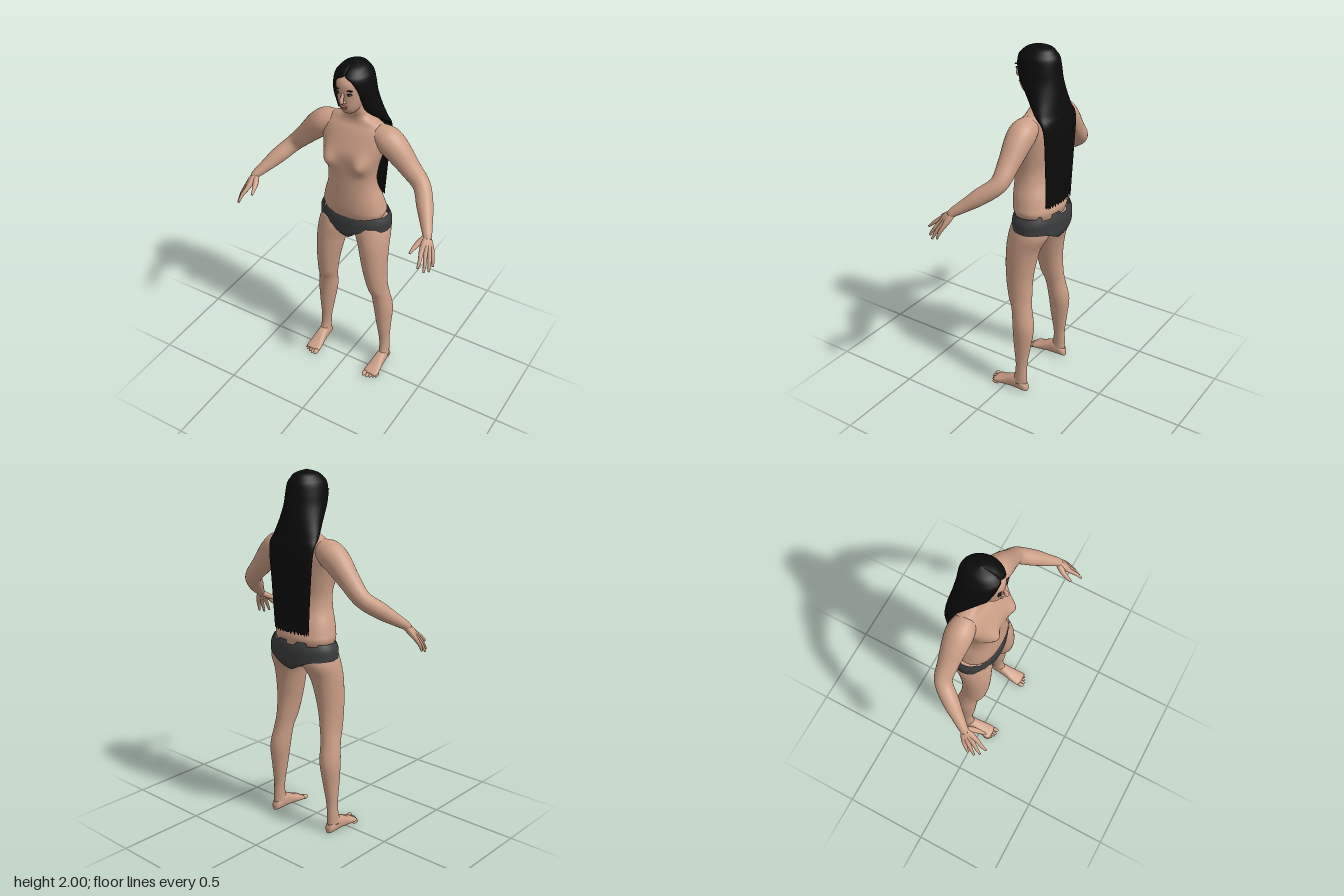
import * as THREE from 'three';

const mat = (name, color, side = THREE.FrontSide) => {
  const m = new THREE.MeshStandardMaterial({ color, side });
  m.name = name;
  return m;
};

// Catmull-Rom blend of station rows, k steps between neighbours
function smooth(st, k = 5) {
  const out = [];
  for (let i = 0; i < st.length - 1; i++) {
    const A = st[Math.max(i - 1, 0)], B = st[i], C = st[i + 1], D = st[Math.min(i + 2, st.length - 1)];
    for (let s = 0; s < k; s++) {
      const t = s / k;
      out.push(B.map((b, c) => {
        const a = A[c], e = C[c], d = D[c];
        return 0.5 * (2 * b + (e - a) * t + (2 * a - 5 * b + 4 * e - d) * t * t + (3 * b - a - 3 * e + d) * t * t * t);
      }));
    }
  }
  out.push(st[st.length - 1]);
  return out;
}

// Skin over closed rings of points, optionally capped at both ends
function skinRings(rings, cap = true) {
  const n = rings[0].length, pos = [], idx = [];
  rings.forEach(r => r.forEach(p => pos.push(p[0], p[1], p[2])));
  for (let i = 0; i < rings.length - 1; i++) for (let j = 0; j < n; j++) {
    const k = (j + 1) % n, a = i * n + j, b = i * n + k, c = b + n, d = a + n;
    idx.push(a, b, c, a, c, d);
  }
  if (cap) [0, rings.length - 1].forEach((row, end) => {
    const m = pos.length / 3;
    pos.push(...[0, 1, 2].map(c => rings[row].reduce((s, p) => s + p[c], 0) / n));
    for (let j = 0; j < n; j++) {
      const a = row * n + j, b = row * n + (j + 1) % n;
      end ? idx.push(a, b, m) : idx.push(b, a, m);
    }
  });
  const g = new THREE.BufferGeometry();
  g.setAttribute('position', new THREE.Float32BufferAttribute(pos, 3));
  g.setIndex(idx);
  g.computeVertexNormals();
  return g;
}

const pw = (v, e) => Math.sign(v) * Math.abs(v) ** e;

// Upright form: stations are [y, centre x, half width, front z, back z]
function upright(st, e = 1, n = 40, bump = () => 0) {
  return skinRings(smooth(st).map(([y, cx, rx, zf, zb]) => Array.from({ length: n }, (_, j) => {
    const t = j / n * Math.PI * 2;
    const x = cx + rx * pw(Math.sin(t), e), z = (zf + zb) / 2 + (zf - zb) / 2 * pw(Math.cos(t), e);
    return [x, y, z + (Math.cos(t) > 0 ? bump(x, y) : 0)];
  })));
}

// Round limb: stations are [x, y, z, radius]
function limb(st, n = 20) {
  const rows = smooth(st, 6), up = new THREE.Vector3(0.3, 0.2, 1);
  return skinRings(rows.map(([x, y, z, r], i) => {
    const p = rows[Math.max(i - 1, 0)], q = rows[Math.min(i + 1, rows.length - 1)];
    const d = new THREE.Vector3(q[0] - p[0], q[1] - p[1], q[2] - p[2]).normalize();
    const a = up.clone().addScaledVector(d, -up.dot(d)).normalize(), b = d.clone().cross(a);
    return Array.from({ length: n }, (_, j) => {
      const t = j / n * Math.PI * 2, c = r * Math.cos(t), s = r * Math.sin(t);
      return [x + a.x * c + b.x * s, y + a.y * c + b.y * s, z + a.z * c + b.z * s];
    });
  }));
}

export function createModel() {
  const model = new THREE.Group();
  const skin = mat('skin', 0xcb9e86), hairMat = mat('black hair', 0x0b0b0c, THREE.DoubleSide);
  const cloth = mat('charcoal cloth', 0x3b3c3d, THREE.DoubleSide);
  const lip = mat('lip', 0xa97462), dark = mat('lash', 0x191312), white = mat('eye white', 0xd9d2ca);
  const add = (name, geo, m, parent = model) => {
    const o = new THREE.Mesh(geo, m);
    o.name = name;
    parent.add(o);
    return o;
  };
  const ball = (name, m, p, s, rz = 0) => {
    const o = add(name, new THREE.SphereGeometry(1, 20, 14), m);
    o.position.set(...p);
    o.scale.set(...s);
    o.rotation.z = rz;
    return o;
  };

  // Torso and neck
  const chest = (x, y) => 0.042 * Math.exp(-(((Math.abs(x) - 0.1) / 0.045) ** 2) - ((y - 1.452) / 0.05) ** 2);
  add('torso', upright([
    [1.07, 0, 0.165, 0.015, -0.2], [1.115, 0, 0.183, 0.028, -0.212], [1.15, 0, 0.178, 0.034, -0.205],
    [1.2, 0, 0.165, 0.036, -0.19], [1.27, 0, 0.142, 0.036, -0.165], [1.34, 0, 0.136, 0.035, -0.155],
    [1.42, 0, 0.147, 0.036, -0.165], [1.5, 0, 0.168, 0.034, -0.175], [1.56, 0, 0.186, 0.01, -0.178],
    [1.62, 0, 0.18, -0.022, -0.175], [1.655, 0, 0.145, -0.045, -0.165], [1.69, 0, 0.072, -0.048, -0.145],
    [1.73, 0, 0.057, -0.033, -0.135], [1.79, 0, 0.053, -0.015, -0.13]], 0.88, 64, chest), skin);

  // Head and face
  add('head', upright([
    [1.73, 0, 0.022, -0.005, -0.06], [1.745, 0, 0.04, 0.014, -0.09], [1.77, 0, 0.055, 0.028, -0.12],
    [1.8, 0, 0.066, 0.034, -0.15], [1.84, 0, 0.073, 0.038, -0.165], [1.88, 0, 0.076, 0.043, -0.17],
    [1.92, 0, 0.074, 0.038, -0.17], [1.955, 0, 0.058, 0.005, -0.145], [1.975, 0, 0.02, -0.04, -0.1]], 0.92), skin);
  add('nose', limb([[0, 1.872, 0.036, 0.006], [0, 1.85, 0.045, 0.008], [0, 1.828, 0.054, 0.012], [0, 1.815, 0.05, 0.009]]), skin);
  ball('upperLip', lip, [0, 1.789, 0.034], [0.022, 0.005, 0.008]);
  ball('lowerLip', lip, [0, 1.78, 0.031], [0.019, 0.006, 0.009]);
  for (const s of [-1, 1]) {
    ball('nostril', skin, [s * 0.011, 1.819, 0.042], [0.008, 0.007, 0.01]);
    ball('eye', white, [s * 0.033, 1.861, 0.034], [0.014, 0.006, 0.005]);
    ball('iris', dark, [s * 0.033, 1.861, 0.037], [0.006, 0.006, 0.004]);
    ball('lash', dark, [s * 0.034, 1.867, 0.035], [0.018, 0.004, 0.005], s * 0.12);
    ball('brow', dark, [s * 0.036, 1.886, 0.036], [0.021, 0.004, 0.005], s * 0.2);
  }

  // Long hair: crescent rows [y, half width, depth, centre z, wrap angle]
  const half = 40;
  const hairRows = smooth([
    [2.0, 0.001, 0.001, -0.08, Math.PI], [1.982, 0.054, 0.066, -0.08, Math.PI], [1.955, 0.082, 0.097, -0.075, Math.PI],
    [1.93, 0.097, 0.112, -0.075, 2.72], [1.88, 0.107, 0.117, -0.078, 2.45], [1.82, 0.114, 0.112, -0.09, 2.4],
    [1.74, 0.13, 0.09, -0.125, 2.48], [1.67, 0.148, 0.065, -0.16, 2.1], [1.6, 0.155, 0.035, -0.2, 1.6],
    [1.4, 0.138, 0.03, -0.203, 1.57], [1.16, 0.122, 0.026, -0.2, 1.57]], 6).reverse();
  add('hair', skinRings(hairRows.map(([y, rx, rz, zc, wrap], i) => {
    const T = Math.min(wrap, Math.PI), ring = [];
    for (let j = 0; j < 2 * half; j++) {
      const inner = j >= half, u = inner ? 2 * half - 1 - j : j;
      const t = T * (1 - 2 * u / (half - 1));
      const y2 = y + (i === 0 ? 0.012 * Math.sin(u * 2.3) : 0);
      ring.push([rx * (inner ? 0.88 : 1) * Math.sin(t), y2, zc - rz * (inner ? 0.7 : 1) * Math.cos(t)]);
    }
    return ring;
  }), false), hairMat);

  // Briefs: a band with dipping leg openings and a notched waist
  const seg = 120, rows = 14, band = [];
  for (let i = 0; i <= rows; i++) {
    band.push(Array.from({ length: seg }, (_, j) => {
      const t = j / seg * Math.PI * 2, c = Math.cos(t), x0 = 0.21 * Math.sin(t);
      const low = c > 0 ? 1.015 - 0.072 * Math.exp(-((x0 / 0.055) ** 2)) : 1.012 - 0.062 * Math.exp(-((x0 / 0.09) ** 2));
      const top = 1.104 + (Math.abs(c) > 0.55 ? 0.009 * Math.sign(Math.sin(9 * t + 0.8)) : 0);
      const y = low + (top - low) * i / rows;
      const swell = 1 - 9 * Math.max(y - 1.06, 0) ** 1.5 - (y < 1 ? 60 * (1 - y) ** 2 : 0);
      return [0.212 * Math.sin(t) * swell, y, -0.1 + (c > 0 ? 0.13 : 0.137) * pw(c, 0.9) * swell];
    }));
  }
  add('briefs', skinRings(band, false), cloth);
  ball('briefsGusset', cloth, [0, 0.972, -0.085], [0.035, 0.034, 0.098]);

  for (const s of [-1, 1]) {
    const side = s > 0 ? 'left' : 'right';
    const mirror = st => st.map(([x, ...r]) => [x * s, ...r]);

    // Arm
    const arm = new THREE.Group();
    arm.name = side + 'Arm';
    model.add(arm);
    add('armAndForearm', limb(mirror([
      [0.12, 1.605, -0.1, 0.055], [0.18, 1.585, -0.1, 0.073], [0.235, 1.545, -0.1, 0.071], [0.32, 1.455, -0.1, 0.056],
      [0.395, 1.378, -0.092, 0.047], [0.455, 1.315, -0.02, 0.044], [0.5, 1.265, 0.045, 0.033],
      [0.53, 1.232, 0.09, 0.025], [0.538, 1.215, 0.105, 0.022]]), 28), skin, arm);

    // Fingers run back through the palm to the wrist
    const fingers = [
      [[0.54, 1.175, 0.17], [0.555, 1.12, 0.235]], [[0.557, 1.166, 0.157], [0.58, 1.087, 0.212]],
      [[0.57, 1.162, 0.138], [0.596, 1.08, 0.185]], [[0.576, 1.164, 0.118], [0.6, 1.092, 0.15]]];
    fingers.forEach(([k, t]) => add('finger', limb(mirror([
      [0.531, 1.228, 0.094, 0.017], [(0.531 + k[0]) / 2, (1.228 + k[1]) / 2, (0.094 + k[2]) / 2, 0.018],
      [...k, 0.0125], [(k[0] + t[0]) / 2 + 0.004, (k[1] + t[1]) / 2, (k[2] + t[2]) / 2 + 0.003, 0.0095],
      [...t, 0.006]]), 12), skin, arm));
    add('thumb', limb(mirror([[0.528, 1.222, 0.1, 0.017], [0.508, 1.2, 0.135, 0.016], [0.496, 1.182, 0.17, 0.011],
      [0.49, 1.166, 0.2, 0.006]]), 12), skin, arm);

    // Leg
    add(side + 'Leg', upright([
      [1.04, 0.108, 0.09, 0.01, -0.205], [0.98, 0.115, 0.098, 0.024, -0.205], [0.9, 0.133, 0.086, 0.03, -0.167],
      [0.8, 0.145, 0.075, 0.03, -0.145], [0.7, 0.156, 0.064, 0.022, -0.135], [0.6, 0.167, 0.055, 0.003, -0.138],
      [0.53, 0.178, 0.053, -0.025, -0.145], [0.42, 0.19, 0.055, -0.04, -0.165], [0.3, 0.197, 0.043, -0.05, -0.152],
      [0.18, 0.204, 0.031, -0.065, -0.135], [0.1, 0.208, 0.029, -0.06, -0.135], [0.05, 0.209, 0.03, -0.04, -0.135]
    ].map(([y, x, ...r]) => [y, x * s, ...r]).reverse()), skin);

    // Foot: stations [z, centre x, half width, top y]
    add(side + 'Foot', skinRings(smooth([
      [-0.142, 0.209, 0.012, 0.03], [-0.128, 0.209, 0.026, 0.055], [-0.08, 0.208, 0.031, 0.085], [-0.03, 0.207, 0.035, 0.072],
      [0.02, 0.206, 0.042, 0.046], [0.06, 0.205, 0.045, 0.03], [0.078, 0.203, 0.036, 0.02]
    ]).map(([z, x, rx, h]) => Array.from({ length: 24 }, (_, j) => {
      const t = j / 24 * Math.PI * 2;
      return [s * x + rx * pw(Math.cos(t), 0.8), 0.003 + h / 2 + (h / 2) * pw(Math.sin(t), 0.8), z];
    }))), skin);
    [[0.174, 0.084, 0.014], [0.196, 0.083, 0.01], [0.214, 0.076, 0.0095], [0.231, 0.067, 0.009], [0.246, 0.056, 0.0085]]
      .forEach(([x, z, r]) => ball('toe', skin, [s * x, r, z], [r * 0.95, r, 0.022]));
  }
  return model;
}
